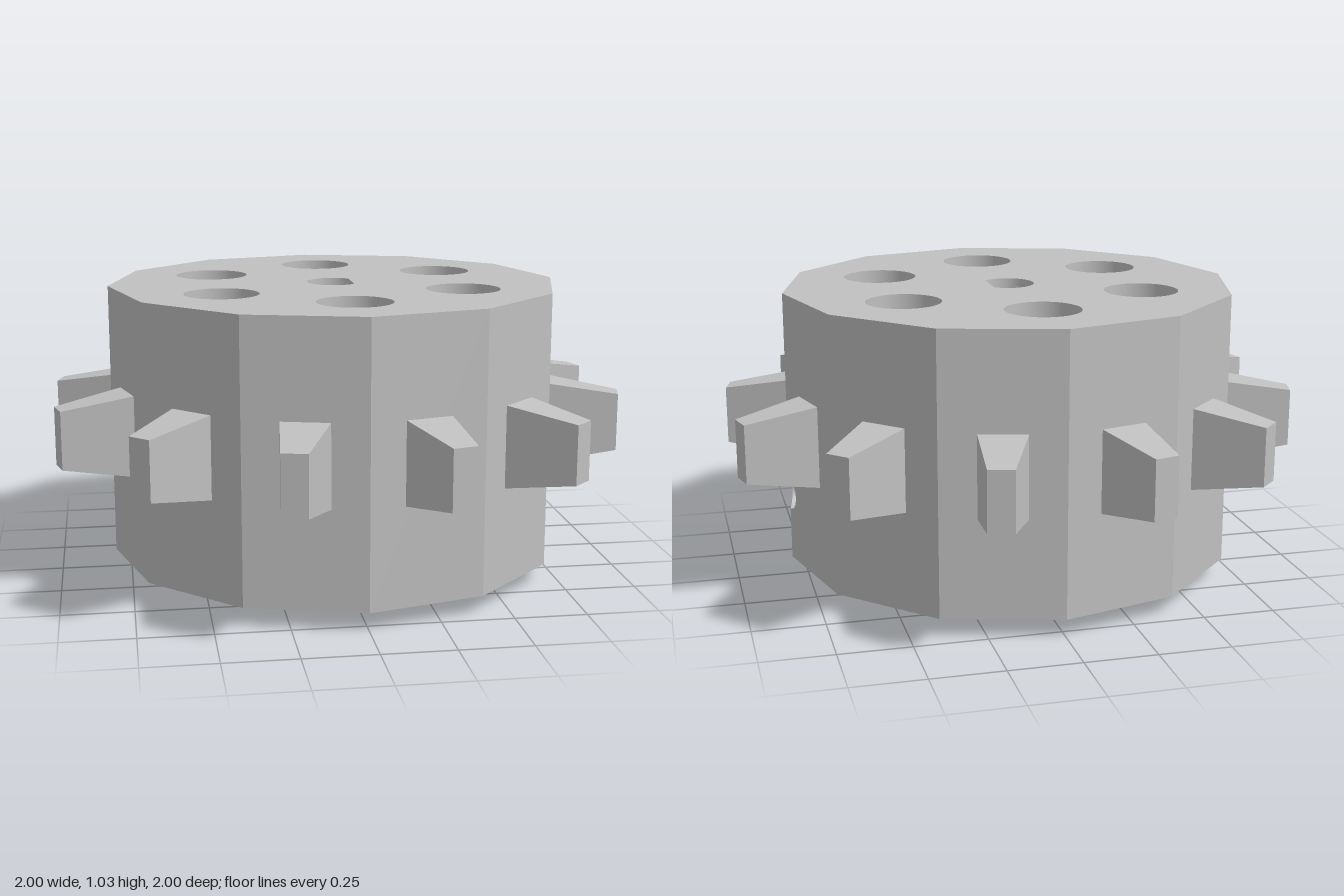
import * as THREE from 'three';

const SIDES = 12, STEP = Math.PI * 2 / SIDES;
const R = 0.805, AP = R * Math.cos(STEP / 2), HALF = R * Math.sin(STEP / 2);
const Y0 = 0.065, Y1 = 1.035;              // body bottom and top
const HUB_R = 0.27, HOLE_R = 0.13, HOLE_D = 0.487;
const BORE_R = 0.095, FLAT_X = 0.065;      // D-shaped shaft bore
const SCREW_R = 0.055, SCREW_Y = 0.305;    // side screw hole
const BORE_A = Math.acos(FLAT_X / BORE_R);

// Turn a surface inside out, for hole walls
function flip(geo) {
  const ix = geo.index, n = geo.attributes.normal;
  for (let i = 0; i < ix.count; i += 3) {
    const a = ix.getX(i);
    ix.setX(i, ix.getX(i + 1));
    ix.setX(i + 1, a);
  }
  for (let i = 0; i < n.count; i++) n.setXYZ(i, -n.getX(i), -n.getY(i), -n.getZ(i));
  return geo;
}

function circle(r, x = 0, y = 0, Type = THREE.Path) {
  return new Type().absarc(x, y, r, 0, Math.PI * 2, false);
}

function dBore() {
  return new THREE.Path().absarc(0, 0, BORE_R, BORE_A, Math.PI * 2 - BORE_A, false).closePath();
}

const holeCentres = Array.from({ length: 6 }, (_, i) => {
  const a = Math.PI / 6 + i * Math.PI / 3;
  return [HOLE_D * Math.cos(a), HOLE_D * Math.sin(a)];
});

// Twelve-sided plate with the six round holes and a centre opening
function plate(centre) {
  const pts = Array.from({ length: SIDES }, (_, i) =>
    new THREE.Vector2(R * Math.cos(i * STEP), R * Math.sin(i * STEP)));
  const s = new THREE.Shape(pts);
  s.holes = [centre, ...holeCentres.map(([x, y]) => circle(HOLE_R, x, y))];
  return new THREE.ShapeGeometry(s, 32);
}

// One side panel; notch is +1 or -1 where half the screw hole bites into that end
function panel(notch) {
  const s = new THREE.Shape(), k = notch || 1;
  s.moveTo(-HALF * k, Y0).lineTo(HALF * k, Y0);
  if (notch) {
    s.lineTo(HALF * k, SCREW_Y - SCREW_R);
    s.absellipse(HALF * k, SCREW_Y, SCREW_R / Math.cos(STEP / 2), SCREW_R, -Math.PI / 2, Math.PI / 2, k > 0);
  }
  s.lineTo(HALF * k, Y1).lineTo(-HALF * k, Y1);
  return new THREE.ShapeGeometry(s, 16);
}

// Tapered tooth pointing along +z from the panel
function tooth() {
  const len = 1.024 - AP, g = new THREE.BoxGeometry(0.165, 0.285, len);
  const p = g.attributes.position;
  for (let i = 0; i < p.count; i++) {
    if (p.getZ(i) > 0) p.setXY(i, p.getX(i) * 0.53, p.getY(i) * 0.72);
  }
  g.translate(0, 0.552, len / 2);
  g.computeVertexNormals();
  return g;
}

export function createModel() {
  const model = new THREE.Group();
  model.name = 'toothedWheel';
  const grey = new THREE.MeshStandardMaterial({ color: 0xc0c0c0 });
  grey.name = 'grey';
  const add = (name, geo, parent = model) => {
    const m = new THREE.Mesh(geo, grey);
    m.name = name;
    parent.add(m);
    return m;
  };

  // Top and bottom faces
  add('topFace', plate(dBore()).rotateX(-Math.PI / 2).translate(0, Y1, 0));
  add('bottomFace', plate(circle(HUB_R)).rotateX(Math.PI / 2).translate(0, Y0, 0));

  // Side panels, each with a tooth
  const toothGeo = tooth();
  for (let i = 0; i < SIDES; i++) {
    const a = (i + 0.5) * STEP;
    const side = new THREE.Group();
    side.name = 'side' + (i + 1);
    side.position.set(AP * Math.cos(a), 0, AP * Math.sin(a));
    side.rotation.y = Math.PI / 2 - a;
    add('sidePanel', panel(i === 0 ? 1 : i === SIDES - 1 ? -1 : 0), side);
    add('tooth', toothGeo, side);
    model.add(side);
  }

  // Walls of the six through holes
  const h = Y1 - Y0;
  for (const [x, z] of holeCentres) {
    add('holeWall', flip(new THREE.CylinderGeometry(HOLE_R, HOLE_R, h, 48, 1, true)))
      .position.set(x, Y0 + h / 2, z);
  }

  // Hub under the body
  add('hubWall', new THREE.CylinderGeometry(HUB_R, HUB_R, Y0, 64, 1, true).translate(0, Y0 / 2, 0));
  const ring = circle(HUB_R, 0, 0, THREE.Shape);
  ring.holes = [dBore()];
  add('hubFace', new THREE.ShapeGeometry(ring, 32).rotateX(Math.PI / 2));

  // Shaft bore: round wall and flat, the flat pierced by the screw hole
  add('boreWall', flip(new THREE.CylinderGeometry(BORE_R, BORE_R, Y1, 40, 1, true,
    Math.PI / 2 + BORE_A, Math.PI * 2 - 2 * BORE_A).translate(0, Y1 / 2, 0)));
  const w = BORE_R * Math.sin(BORE_A);
  const flat = new THREE.Shape();
  flat.moveTo(-w, 0).lineTo(w, 0).lineTo(w, Y1).lineTo(-w, Y1);
  flat.holes = [circle(SCREW_R, 0, SCREW_Y)];
  add('boreFlat', new THREE.ShapeGeometry(flat, 16).rotateY(-Math.PI / 2).translate(FLAT_X, 0, 0));

  // Screw hole wall, its outer end trimmed to the two panels it meets
  const screw = new THREE.CylinderGeometry(SCREW_R, SCREW_R, 1, 32, 1, true).rotateZ(-Math.PI / 2);
  const p = screw.attributes.position;
  for (let i = 0; i < p.count; i++) {
    p.setX(i, p.getX(i) > 0 ? R - Math.abs(p.getZ(i)) * Math.tan(STEP / 2) : FLAT_X);
  }
  add('screwHoleWall', flip(screw).translate(0, SCREW_Y, 0));

  return model;
}
